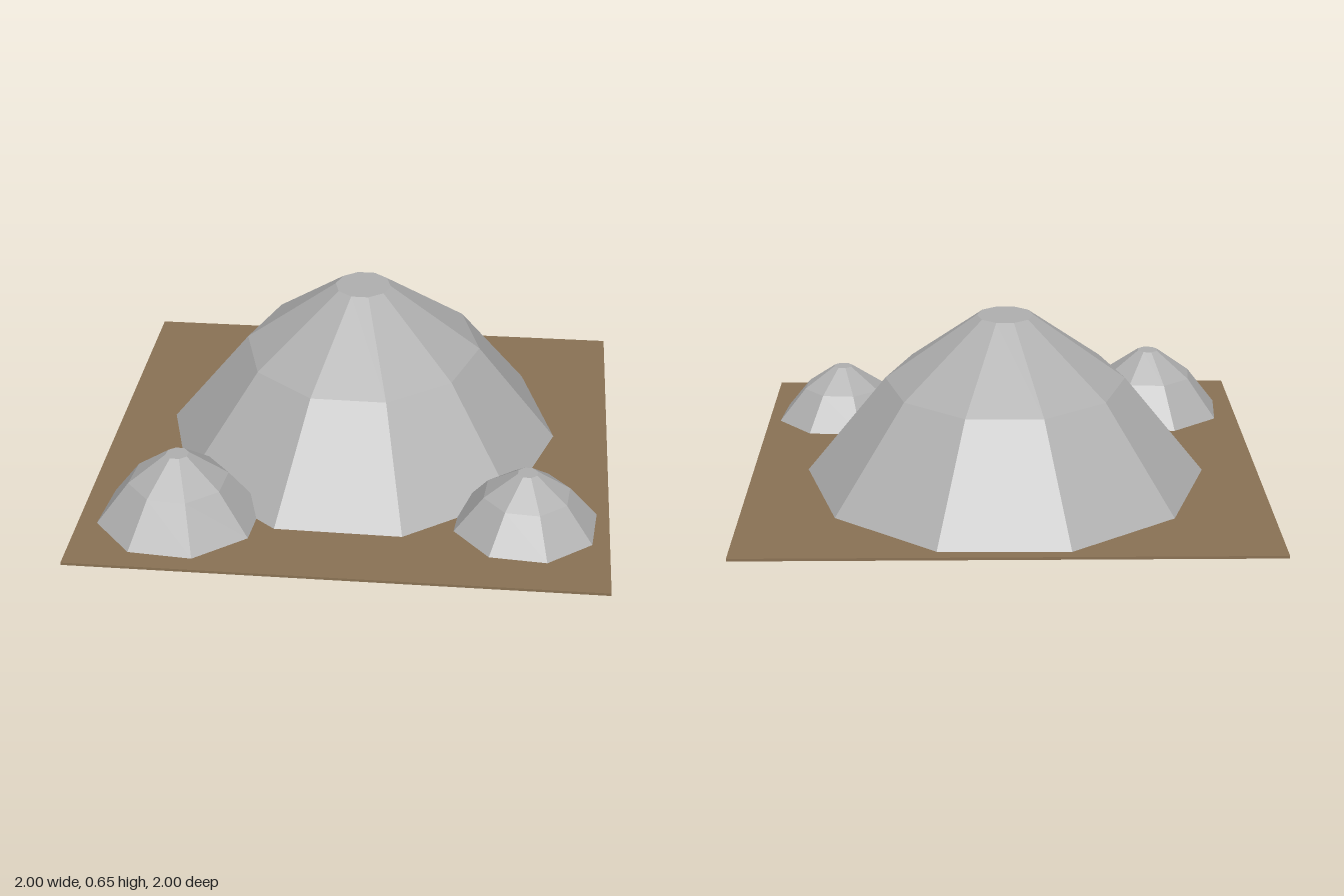
import * as THREE from 'three';

const GROUND_TOP = 0.01;

export function createModel() {
  const earth = new THREE.MeshStandardMaterial({ name: 'brown earth', color: 0x8b7355, flatShading: true });
  const stone = new THREE.MeshStandardMaterial({ name: 'grey stone', color: 0xb0b0b0, flatShading: true });
  const model = new THREE.Group();
  model.name = 'moundsOnGround';

  // Thin square ground slab
  const ground = new THREE.Mesh(new THREE.BoxGeometry(2, GROUND_TOP, 2), earth);
  ground.name = 'ground';
  ground.position.y = GROUND_TOP / 2;
  model.add(ground);

  // Faceted mound: steep skirt, shallower shoulder, small flat cap
  function addMound(name, { x, z, radius, height, sides, turn, stretch = 1 }) {
    const h = height - GROUND_TOP;
    const profile = [
      [radius, 0],
      [radius * 0.6, h * 0.6],
      [radius * 0.14, h],
      [0, h],
    ].map(([r, y]) => new THREE.Vector2(r, y));
    const mound = new THREE.Mesh(new THREE.LatheGeometry(profile, sides, Math.PI / 2), stone);
    mound.name = name;
    mound.position.set(x, GROUND_TOP, z);
    mound.scale.z = stretch;
    mound.rotation.y = -turn;
    model.add(mound);
  }

  addMound('largeMound', { x: 0, z: -0.125, radius: 0.783, height: 0.652, sides: 10, turn: 0.0167, stretch: 1.108 });
  addMound('rightSmallMound', { x: -0.625, z: 0.625, radius: 0.317, height: 0.276, sides: 8, turn: 0.478 });
  addMound('leftSmallMound', { x: 0.685, z: 0.56, radius: 0.281, height: 0.23, sides: 8, turn: 0.478 });

  return model;
}
